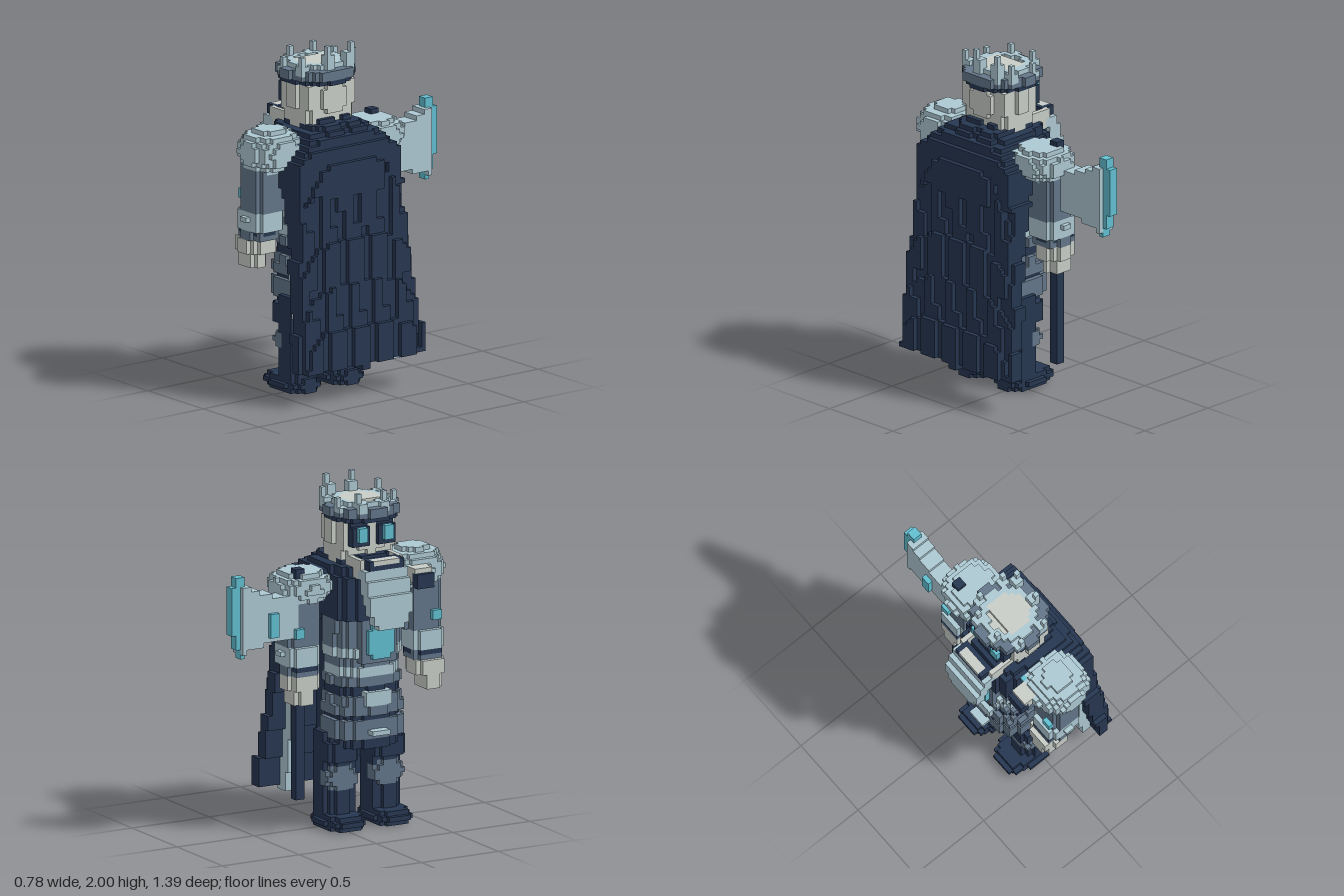
import * as THREE from 'three';

const U = 1 / 36;          // cube size
const MID = 1 / 6;         // z of the figure's plane of symmetry (it looks toward -x)
const COLORS = { navy: 0x273752, slate: 0x64778a, frost: 0xaecad4, bone: 0xc9cfc8, teal: 0x62c0d3 };

// piecewise-linear lookup, rows sorted by ascending key
function curve(rows, t) {
  if (t <= rows[0][0]) return rows[0][1];
  for (let i = 1; i < rows.length; i++) {
    const [a, va] = rows[i - 1], [b, vb] = rows[i];
    if (t <= b) return va + (vb - va) * (t - a) / (b - a);
  }
  return rows[rows.length - 1][1];
}

export function createModel() {
  const group = new THREE.Group();
  const mats = {};
  for (const [name, color] of Object.entries(COLORS)) {
    mats[name] = new THREE.MeshStandardMaterial({ color });
    mats[name].name = name;
  }
  const cells = new Map();   // one cube per key; later parts replace earlier ones
  const key = (i, j, k) => ((i + 50) * 100 + j + 10) * 100 + k + 50;

  // fill every cube whose centre passes the test
  function fill(name, mat, [x0, x1], [y0, y1], [z0, z1], test = () => true) {
    const r = v => Math.round(v / U);
    for (let i = r(x0); i < r(x1); i++) for (let j = Math.max(0, r(y0)); j < r(y1); j++) for (let k = r(z0); k < r(z1); k++)
      if (test((i + 0.5) * U, (j + 0.5) * U, (k + 0.5) * U, k)) cells.set(key(i, j, k), { i, j, k, name, mat });
  }
  const box = fill;
  // elliptic column
  const column = (name, mat, cx, cz, rx, rz, y0, y1, p = 2.5) =>
    fill(name, mat, [cx - rx - U, cx + rx + U], [y0, y1], [cz - rz - U, cz + rz + U],
      (x, y, z) => Math.abs((x - cx) / rx) ** p + Math.abs((z - cz) / rz) ** p <= 1);
  const ball = (name, mat, c, r, p = 2) =>
    fill(name, mat, [c[0] - r[0] - U, c[0] + r[0] + U], [c[1] - r[1] - U, c[1] + r[1] + U], [c[2] - r[2] - U, c[2] + r[2] + U],
      (x, y, z) => Math.abs((x - c[0]) / r[0]) ** p + Math.abs((y - c[1]) / r[1]) ** p + Math.abs((z - c[2]) / r[2]) ** p <= 1);

  // cape: ribbed sheet that domes over the shoulders
  const back = [[0.16, 0.39], [0.35, 0.385], [0.5, 0.365], [0.78, 0.335], [1, 0.31], [1.4, 0.29], [1.48, 0.25], [1.53, 0.2], [1.58, 0.14]];
  const inner = [[0.16, 0.3], [0.42, 0.25], [0.8, 0.2], [1.2, 0.12], [1.35, 0], [1.58, -0.1]];
  const halfWidth = [[0.2, 0.447], [0.6, 0.41], [0.9, 0.385], [1.35, 0.36], [1.4, 0.34], [1.46, 0.28], [1.53, 0.2], [1.58, 0.09]];
  const sway = [[0.2, -0.028], [0.9, -0.015], [1.4, 0]];
  fill('cape', 'navy', [-0.11, 0.39], [0.16, 1.58], [-0.34, 0.64], (x, y, z, k) => {
    const w = curve(halfWidth, y), d = Math.abs(z - MID - curve(sway, y)), strip = Math.floor((k + 60) / 2);
    const hem = d < 0.04 ? 0.16 : 0.2;
    const fold = strip % 3 === 1 && y < 1.3 - 0.11 * (strip % 4) || strip % 3 === 2 && y % 0.5 < 0.16 ? U : 0;
    return y > hem && d < w && x > curve(inner, y) && x < curve(back, y) - fold - 0.02 * (d / w) ** 4;
  });
  // pale lining strips and coat tail
  for (const z of [0.46, -0.13]) fill('capeLining', 'frost', [0.12, 0.33], [0.16, 0.78], [z - U, z + U], (x, y) => {
    const c = curve([[0.16, 0.27], [0.4, 0.23], [0.78, 0.18]], y);
    return Math.abs(x - c) < 0.04;
  });
  fill('coatTail', 'navy', [0.05, 0.23], [0.35, 1.35], [0.0, 0.33], (x, y) => x < curve([[0.35, 0.13], [0.45, 0.17], [0.75, 0.17], [0.85, 0.22]], y));

  // legs with boots and knee plates
  for (const s of [-1, 1]) {
    const z = MID + s * 0.152;
    column('leg', 'navy', -0.005, z, 0.095, 0.088, 0.06, 0.56, 4);
    column('thigh', 'navy', -0.04, z, 0.11, 0.088, 0.4, 0.5, 4);
    column('boot', 'navy', -0.05, z, 0.15, 0.088, 0, 0.09, 4);
    column('bootRim', 'navy', -0.05, z, 0.17, 0.115, 0.028, 0.056, 3);
    ball('kneePlate', 'slate', [-0.065, 0.29, z], [0.06, 0.08, 0.108]);
  }

  // torso: armour bands stacked from hip to neck [y0, y1, colour, x radius, z radius]
  const bands = [
    [0.47, 0.53, 'navy', 0.155, 0.19], [0.53, 0.64, 'slate', 0.175, 0.225], [0.64, 0.67, 'navy', 0.155, 0.2],
    [0.67, 0.72, 'slate', 0.18, 0.22], [0.72, 0.78, 'slate', 0.17, 0.21], [0.78, 0.83, 'navy', 0.15, 0.2],
    [0.83, 0.89, 'slate', 0.165, 0.21], [0.89, 0.95, 'frost', 0.16, 0.2], [0.95, 1.0, 'slate', 0.155, 0.2],
    [1.0, 1.06, 'frost', 0.17, 0.215], [1.06, 1.14, 'slate', 0.165, 0.215], [1.14, 1.22, 'slate', 0.16, 0.22],
    [1.22, 1.47, 'navy', 0.2, 0.235], [1.47, 1.53, 'navy', 0.16, 0.21], [1.53, 1.58, 'navy', 0.13, 0.16],
  ];
  for (const [y0, y1, mat, rx, rz] of bands) column('torsoBand', mat, -0.06, MID, rx, rz, y0, y1);
  box('hipTrim', 'frost', [-0.27, -0.22], [0.55, 0.58], [MID - 0.055, MID + 0.055]);
  box('beltPlate', 'frost', [-0.24, -0.2], [0.71, 0.8], [MID - 0.085, MID + 0.085]);
  // chest gem in its setting
  box('gemSetting', 'slate', [-0.25, -0.2], [0.97, 1.22], [0.055, 0.28]);
  fill('chestGem', 'teal', [-0.28, -0.22], [1.0, 1.2], [0.08, 0.25],
    (x, y, z) => Math.abs(y - 1.1) / 0.12 + Math.abs(z - MID) / 0.11 < 1.25);

  // arms
  for (const s of [-1, 1]) {
    const z = MID + s * 0.4, handX = s > 0 ? -0.075 : -0.05;
    column('upperArm', 'slate', -0.015, z, 0.11, 0.112, 1.08, 1.4);
    column('elbowBand', 'frost', -0.03, z, 0.11, 0.108, 0.98, 1.08);
    box('elbowStud', 'frost', [-0.06, 0], [1.03, 1.06], s > 0 ? [z, z + 0.14] : [z - 0.14, z]);
    column('forearm', 'slate', -0.045, z, 0.105, 0.088, 0.91, 0.98);
    column('cuff', 'navy', -0.045, z, 0.1, 0.085, 0.94, 0.97);
    column('hand', 'bone', handX, z, 0.1, 0.092, 0.82, 0.92, 2.5);
    column('fingers', 'bone', handX - 0.01, z + s * 0.01, 0.075, 0.055, 0.74, 0.82, 3);
    ball('shoulderPlate', 'frost', [0.01, s > 0 ? 1.43 : 1.41, MID + s * 0.365], [0.168, s > 0 ? 0.125 : 0.1, 0.165], 2.2);
    box('armGem', 'teal', [-0.14, -0.11], [1.14, 1.2], [MID + s * 0.45 - U, MID + s * 0.45 + U]);
  }
  // charm on the left shoulder
  box('shoulderCharm', 'bone', [-0.21, -0.13], [1.38, 1.47], [0.41, 0.54]);
  box('charmBack', 'navy', [-0.24, -0.2], [1.36, 1.44], [0.43, 0.54]);
  box('charmGem', 'teal', [-0.15, -0.11], [1.44, 1.47], [0.39, 0.42]);

  // axe: long handle, flared blade, glowing edge and rune
  box('axeHandle', 'navy', [-0.085, -0.027], [0.2, 1.53], [-0.28, -0.222]);
  fill('axeBlade', 'frost', [-0.115, 0], [1.08, 1.5], [-0.64, -0.28], (x, y, z) => {
    const t = (-z - 0.3) / 0.34;
    return y > 1.14 - 0.05 * Math.max(0, t) ** 2 && y < 1.38 + 0.11 * Math.max(0, t) ** 2;
  });
  fill('axeEdge', 'teal', [-0.085, -0.027], [1.05, 1.53], [-0.7, -0.61], (x, y, z) =>
    z > -0.7 + (Math.abs(y - 1.33) > 0.14 ? 0.03 : 0) && (y > 1.1 || z > -0.64));
  box('axeRune', 'teal', [-0.14, -0.11], [1.17, 1.3], [-0.46, -0.43]);

  // head and visor eyes
  ball('head', 'bone', [-0.015, 1.7, MID], [0.142, 0.2, 0.182], 3.5);
  column('neck', 'bone', -0.03, MID, 0.12, 0.15, 1.53, 1.61);
  for (const s of [-1, 1]) {
    const z = MID + s * 0.085;
    fill('eyeSocket', 'navy', [-0.195, -0.1], [1.63, 1.77], [z - 0.056, z + 0.056],
      (x, y) => x > -0.17 || Math.abs(y - 1.7) < 0.05);
    box('eye', 'teal', [-0.222, -0.19], [1.67, 1.74], [z - U, z + U]);
  }

  // crown: dark rim, slate band, pale inner ring and points
  const ring = (name, mat, r0, r1, y0, y1) => fill(name, mat, [-0.28, 0.22], [y0, y1], [-0.08, 0.42], (x, y, z) => {
    const r = Math.hypot(x + 0.035, z - MID);
    return r > r0 && r < r1;
  });
  ring('crownTop', 'bone', 0, 0.125, 1.78, 1.86);
  ring('crownRim', 'navy', 0.13, 0.195, 1.77, 1.8);
  ring('crownBand', 'slate', 0.125, 0.212, 1.8, 1.86);
  ring('crownInnerRing', 'frost', 0.12, 0.16, 1.84, 1.88);
  const points = [[0.11, 0.208, 2], [0.11, 0.042, 2], [0.055, 0.33, 1.94], [0.055, 0, 1.94],
    [-0.12, 0.33, 1.92], [-0.12, 0, 1.92], [-0.194, 0.097, 1.94], [-0.194, 0.236, 1.94]];
  for (const [x, z, top] of points) {
    box('crownPoint', 'frost', [x - U, x + U], [1.83, top - 0.06], [z - U, z + U]);
    box('crownPointTip', 'frost', [x, x + U], [1.86, top], z > MID ? [z, z + U] : [z - U, z]);
  }

  // beard: bone rails from the jaw, framed top and a sheet hanging forward
  for (const z of [0.028, 0.278]) box('jawRail', 'bone', [-0.28, -0.1], [1.47, 1.58], [z, z + U], (x, y) => y - 1.58 > -0.09 + 0.3 * (-x - 0.28));
  fill('beard', 'frost', [-0.4, -0.2], [1.2, 1.54], [0.028, 0.306], (x, y, z) =>
    Math.abs(z - MID) < curve([[1.2, 0.09], [1.33, 0.15]], y) &&
    Math.abs(x - curve([[1.2, -0.375], [1.3, -0.37], [1.4, -0.33], [1.5, -0.29], [1.56, -0.27]], y)) < 0.042);
  box('beardFrame', 'navy', [-0.335, -0.24], [1.53, 1.58], [0.055, 0.278]);
  box('beardInset', 'bone', [-0.335, -0.278], [1.55, 1.58], [0.083, 0.25]);

  // turn the cubes into one mesh per part, keeping only uncovered faces
  const parts = new Map();
  const step = [[1, 0, 0], [0, 1, 0], [0, 0, 1]];
  for (const c of cells.values()) {
    const id = c.name + '|' + c.mat;
    if (!parts.has(id)) parts.set(id, { name: c.name, mat: c.mat, pos: [], nor: [] });
    const part = parts.get(id), base = [c.i, c.j, c.k];
    for (let a = 0; a < 3; a++) for (const s of [-1, 1]) {
      const n = step[a].map(v => v * s);
      if (cells.has(key(c.i + n[0], c.j + n[1], c.k + n[2]))) continue;
      const u = step[(a + 1) % 3], v = step[(a + 2) % 3];
      const corner = (p, q) => base.map((b, m) => (b + (s > 0 ? step[a][m] : 0) + u[m] * p + v[m] * q) * U);
      const [A, B, C, D] = [corner(0, 0), corner(1, 0), corner(1, 1), corner(0, 1)];
      for (const p of s > 0 ? [A, B, C, A, C, D] : [A, C, B, A, D, C]) { part.pos.push(...p); part.nor.push(...n); }
    }
  }
  for (const { name, mat, pos, nor } of parts.values()) {
    const geo = new THREE.BufferGeometry();
    geo.setAttribute('position', new THREE.Float32BufferAttribute(pos, 3));
    geo.setAttribute('normal', new THREE.Float32BufferAttribute(nor, 3));
    const mesh = new THREE.Mesh(geo, mats[mat]);
    mesh.name = name;
    group.add(mesh);
  }
  return group;
}
